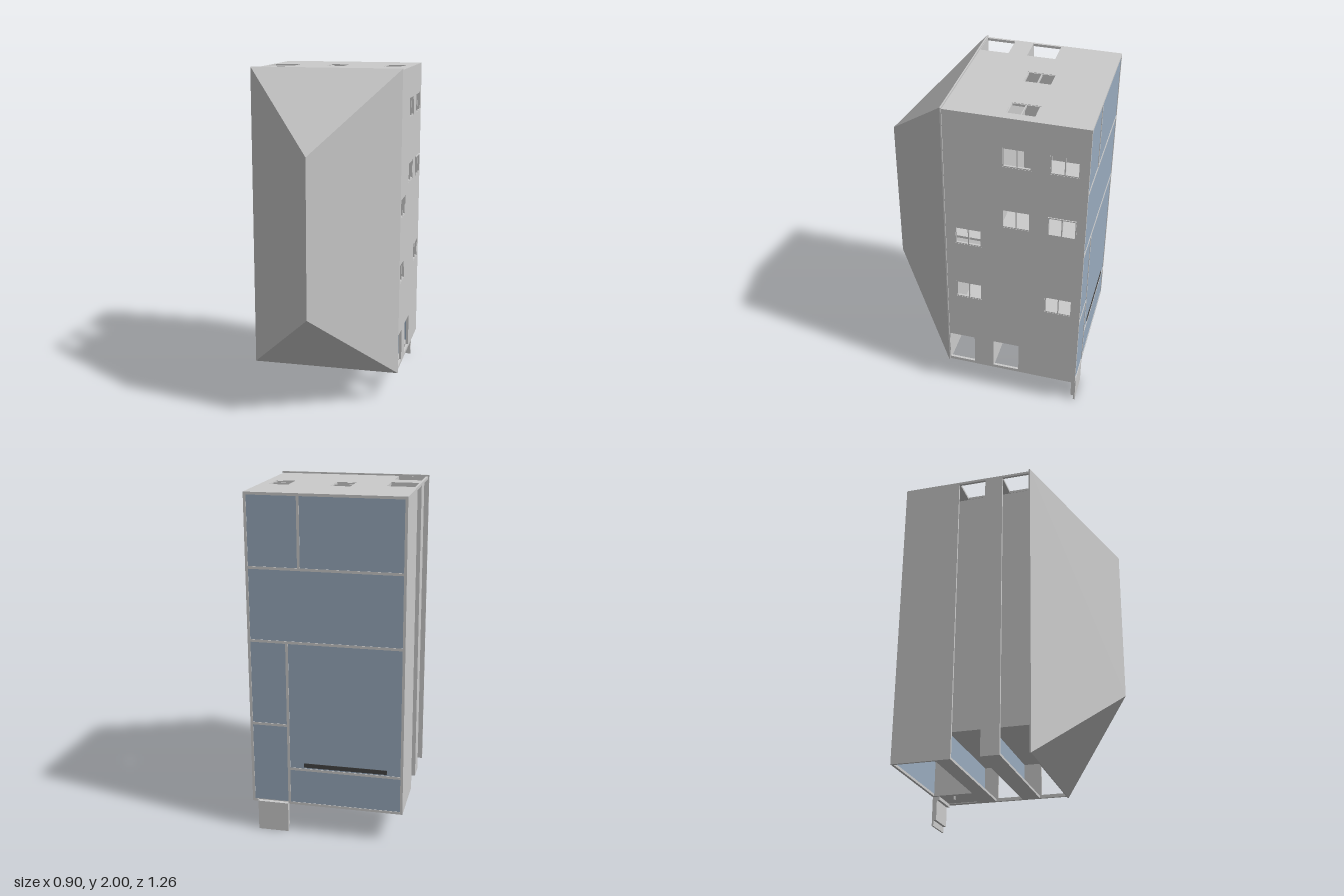
import * as THREE from 'three';

const grey = new THREE.MeshStandardMaterial({ color: 0xcccccc, flatShading: true });
const blue = new THREE.MeshStandardMaterial({ color: 0x99abbe, flatShading: true });
const dark = new THREE.MeshStandardMaterial({ color: 0x444444, flatShading: true });

const X = 0.443, Y0 = 0.18, Y1 = 1.99, Z0 = -0.63, Z1 = 0.172, T = 0.015;
const F1 = -0.37, F2 = -0.11;           // undersides of the two upper floors
const V = (x, y, z) => new THREE.Vector3(x, y, z);

export function createModel() {
  const model = new THREE.Group();

  function add(name, geometry, material = grey) {
    const mesh = new THREE.Mesh(geometry, material);
    mesh.name = name;
    model.add(mesh);
    return mesh;
  }
  // Box given by its limits
  function box(name, x0, x1, y0, y1, z0, z1, material) {
    const g = new THREE.BoxGeometry(x1 - x0, y1 - y0, z1 - z0);
    g.translate((x0 + x1) / 2, (y0 + y1) / 2, (z0 + z1) / 2);
    return add(name, g, material);
  }
  // Flat wall with rectangular holes [a0, a1, b0, b1], laid on axes a, b, depth
  function wall(name, rect, holes, a, b, origin) {
    const loop = ([a0, a1, b0, b1], P) => {
      const p = new P();
      p.moveTo(a0, b0); p.lineTo(a1, b0); p.lineTo(a1, b1); p.lineTo(a0, b1);
      p.closePath();
      return p;
    };
    const shape = loop(rect, THREE.Shape);
    holes.forEach(h => shape.holes.push(loop(h, THREE.Path)));
    const g = new THREE.ExtrudeGeometry(shape, { depth: T, bevelEnabled: false });
    g.applyMatrix4(new THREE.Matrix4().makeBasis(a, b, a.clone().cross(b)).setPosition(origin));
    return add(name, g);
  }

  // Window openings on the left wall [z0, z1, y0, y1] and top wall [x0, x1, z0, z1]
  const leftWindows = [
    [-0.32, -0.16, 1.69, 1.81], [-0.58, -0.42, 1.69, 1.81],
    [-0.32, -0.16, 1.29, 1.41], [-0.58, -0.42, 1.29, 1.41],
    [-0.04, 0.115, 1.12, 1.235], [-0.04, 0.115, 0.72, 0.835],
    [-0.58, -0.42, 0.72, 0.835]];
  const topWindows = [[-0.08, 0.035, -0.325, -0.165], [0.275, 0.39, -0.325, -0.165]];

  // Outer walls; the gallery ends are open
  wall('leftWall', [Z0, Z1, Y0, Y1],
    [...leftWindows, [-0.27, -0.11, 0.2, 0.4], [0.01, 0.168, 0.2, 0.4]],
    V(0, 0, 1), V(0, 1, 0), V(X, 0, 0));
  wall('topWall', [-X, X - T, Z0, Z1],
    [...topWindows, [-0.428, -0.27, -0.275, -0.11], [-0.428, -0.27, 0, 0.168]],
    V(1, 0, 0), V(0, 0, 1), V(0, Y1, 0));

  // Window frames with a central bar
  const r = 0.006;
  leftWindows.forEach(([z0, z1, y0, y1], i) => {
    const out = i === 3 ? X + 0.006 : X - 0.002, inn = X - T;
    const mid = (z0 + z1) / 2;
    for (const z of [z0, mid - r / 2, z1 - r]) box('windowFrame', inn, out, y0, y1, z, z + r);
    for (const y of [y0, y1 - r]) box('windowFrame', inn, out, y, y + r, z0, z1);
  });
  topWindows.forEach(([x0, x1, z0, z1]) => {
    const mid = (z0 + z1) / 2;
    for (const z of [z0, mid - r / 2, z1 - r]) box('windowFrame', x0, x1, Y1 - T, Y1 - 0.002, z, z + r);
    for (const x of [x0, x1 - r]) box('windowFrame', x, x + r, Y1 - T, Y1 - 0.002, z0, z1);
  });

  // Right side: ground wall with parapet, and upper parapet
  const yEnd = Y1 - T;
  box('rightWall', -X, -X + T, Y0, yEnd, Z0, -0.28);
  box('rightUpperParapet', -X, -X + T, Y0, yEnd, F2, 0);

  // Bottom side: parapets over an open porch
  box('lowerParapet', -X + T, X - T, Y0, Y0 + T, F1, -0.28);
  box('upperParapet', -X + T, X - T, Y0, Y0 + T, F2, 0);

  // Floors, set inside the outer walls
  const floor = (name, z0, z1, m) => box(name, -X + T, X - T, Y0 + T, yEnd, z0, z1, m);
  floor('groundFloor', Z0 + 0.003, Z0 + 0.015, blue);
  floor('middleFloor', F1, F1 + 0.012, blue);
  floor('middleCeiling', F2, F2 + 0.006, grey);
  floor('upperFloor', F2 + 0.006, F2 + 0.012, blue);
  box('groundFloorEdge', -X + T, 0.215, Y0, Y0 + T, Z0, Z0 + 0.015);

  // Ground floor partitions
  const w = 0.0075;
  const acrossWall = (y, x0, x1) => box('partition', x0, x1, y - w, y + w, Z0, F1);
  const alongWall = (x, y0, y1) => box('partition', x - w, x + w, y0, y1, Z0, F1);
  acrossWall(1.58, -X + T, X - T);
  acrossWall(1.165, -X + T, X - T);
  acrossWall(0.67, 0.22, X - T);
  acrossWall(0.405, -X + T, 0.22);
  alongWall(0.145, 1.58, yEnd);
  alongWall(0.22, Y0, 1.165);
  box('floorSlot', -0.35, 0.13, 0.42, 0.445, Z0, Z0 + 0.02, dark);

  // Inner walls behind the galleries on both upper storeys
  for (const [z0, z1] of [[F1 + 0.012, F2], [F2 + 0.012, Z1]]) {
    box('galleryWall', -0.268, -0.253, 0.402, yEnd, z0, z1);
    box('galleryWall', -0.268, X - T, 0.402, 0.417, z0, z1);
    box('upperPartition', -0.253, X - T, 1.15, 1.165, z0, z1);
  }

  // Entrance: wall around the door, door, handle
  box('doorJamb', 0.41, X - T, Y0, Y0 + T, Z0, F1);
  box('doorLintel', 0.2275, 0.41, Y0, Y0 + T, -0.4, F1);
  box('door', 0.2275, 0.41, Y0 + 0.004, Y0 + 0.012, Z0 + 0.015, -0.4);
  box('doorHandle', 0.25, 0.265, 0.16, Y0 + 0.004, -0.503, -0.495);

  // Entrance landing and ramp
  const ramp = new THREE.Shape([[Z0, 0], [-0.62, 0], [-0.62, 0.035], [-0.603, 0.035],
    [-0.603, 0.16], [-0.585, 0.16], [-0.585, Y0], [Z0, Y0]].map(p => new THREE.Vector2(...p)));
  const rampGeo = new THREE.ExtrudeGeometry(ramp, { depth: 0.18, bevelEnabled: false });
  rampGeo.applyMatrix4(new THREE.Matrix4()
    .makeBasis(V(0, 0, 1), V(0, 1, 0), V(-1, 0, 0)).setPosition(0.41, 0, 0));
  add('entranceSteps', rampGeo);

  // Hipped roof: thin eave slab and four slopes rising to the ridge
  const E = 0.45, B = 0.175, U = 2, ez = 0.178;
  box('eaves', -E, E, B, U, Z1 - 0.002, ez);
  const a = [-E, B, ez], b = [E, B, ez], c = [E, U, ez], d = [-E, U, ez];
  const p = [0, 0.625, 0.63], q = [0, 1.55, 0.63];
  const faces = [a, b, p, b, c, q, b, q, p, c, d, q, d, a, p, d, p, q];
  const roof = new THREE.BufferGeometry();
  roof.setAttribute('position', new THREE.Float32BufferAttribute(faces.flat(), 3));
  roof.computeVertexNormals();
  add('roof', roof);

  return model;
}
